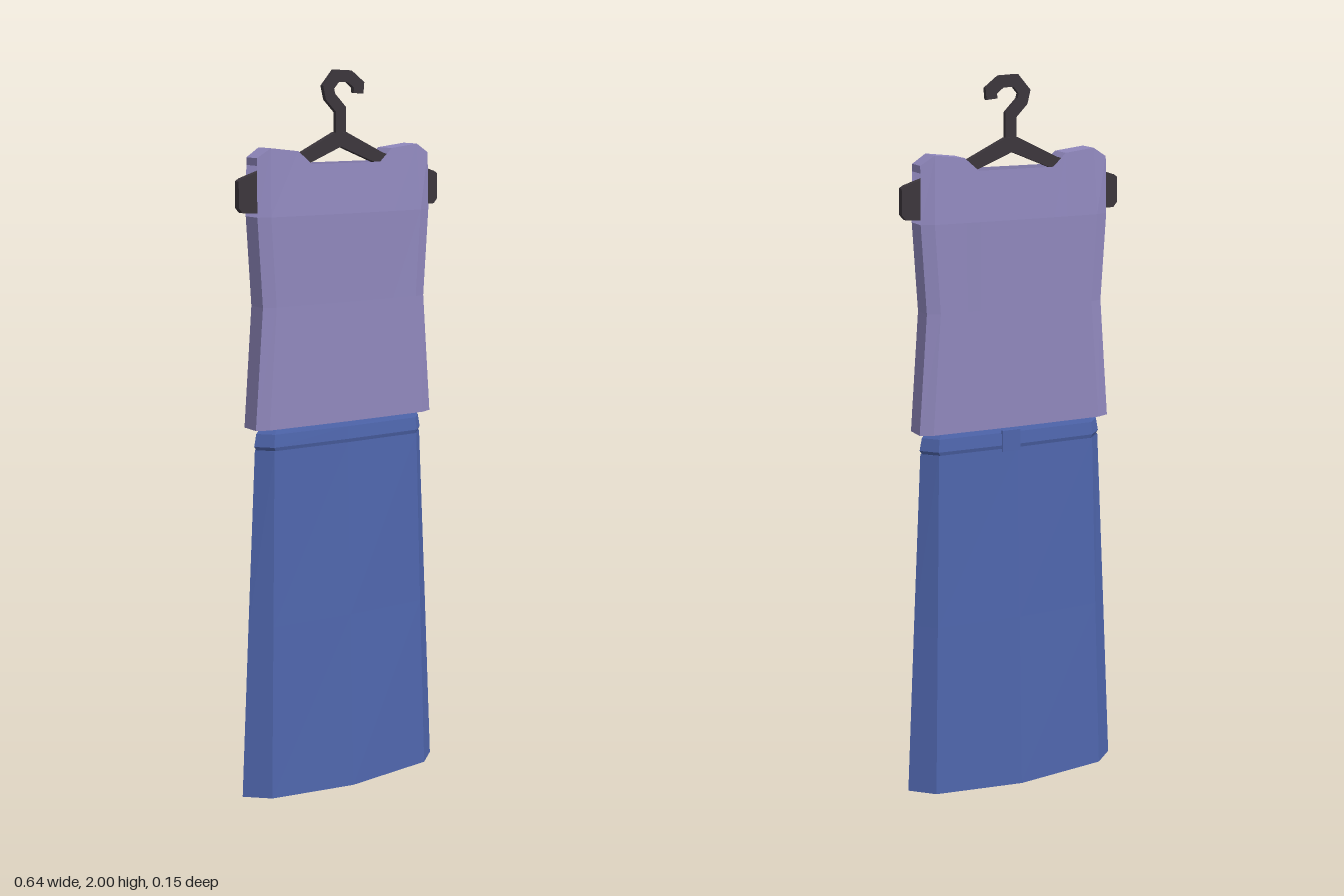
import * as THREE from 'three';

const cloth = (color) => new THREE.MeshStandardMaterial({ color, flatShading: true, side: THREE.DoubleSide });
const skirtMat = cloth(0x4f66ad);
const shirtMat = cloth(0x9088bd);
const hangerMat = new THREE.MeshStandardMaterial({ color: 0x3c363c, flatShading: true });

function add(parent, name, geometry, material) {
  const mesh = new THREE.Mesh(geometry, material);
  mesh.name = name;
  parent.add(mesh);
  return mesh;
}

// Surface through rows of [x, y, z] points, faceted
function grid(rows) {
  const n = rows[0].length, index = [];
  for (let i = 0; i < rows.length - 1; i++) {
    for (let j = 0; j < n - 1; j++) {
      const a = i * n + j, d = a + n;
      index.push(a, a + 1, d + 1, a, d + 1, d);
    }
  }
  const g = new THREE.BufferGeometry();
  g.setAttribute('position', new THREE.Float32BufferAttribute(rows.flat(2), 3));
  g.setIndex(index);
  const flat = g.toNonIndexed();
  flat.computeVertexNormals();
  return flat;
}

// Eight-sided skirt ring: side points, corners, middle of front and back
function ring([y, w, c, d, e, drop = 0]) {
  return [[-w, 0], [-c, d], [0, e], [c, d], [w, 0], [c, -d], [0, -e], [-c, -d], [-w, 0]]
    .map(([x, z]) => [x, x === 0 ? y - drop : y, z]);
}

// Flat bar of constant width along a centre line, with mitred joints
function ribbon(points, half) {
  const p = points.map(([x, y]) => new THREE.Vector2(x, y));
  const left = [], right = [];
  p.forEach((v, i) => {
    const before = v.clone().sub(p[Math.max(i - 1, 0)]).normalize();
    const after = p[Math.min(i + 1, p.length - 1)].clone().sub(v).normalize();
    const t = before.clone().add(after).normalize();
    const nrm = new THREE.Vector2(-t.y, t.x);
    const along = i === 0 ? after : before;
    const k = half / Math.max(0.5, t.dot(along));
    left.push(v.clone().addScaledVector(nrm, k));
    right.unshift(v.clone().addScaledVector(nrm, -k));
  });
  return [...left, ...right];
}

function plate(points, depth) {
  const shape = new THREE.Shape(points);
  return new THREE.ExtrudeGeometry(shape, { depth, bevelEnabled: false }).translate(0, 0, -depth / 2);
}

function makeSkirt() {
  const skirt = new THREE.Group();
  skirt.name = 'skirt';
  // Flared body with a turned-in hem
  add(skirt, 'skirtBody', grid([
    [0.03, 0.305, 0.25, 0.05, 0.065],
    [0.01, 0.308, 0.252, 0.051, 0.066, 0.01],
    [0.01, 0.322, 0.26, 0.057, 0.074, 0.01],
    [0.5, 0.298, 0.247, 0.048, 0.059],
    [0.99, 0.273, 0.235, 0.04, 0.045],
  ].map(ring)), skirtMat);
  // Waistband
  add(skirt, 'waistband', grid([
    [0.99, 0.268, 0.231, 0.038, 0.043],
    [1.0, 0.275, 0.236, 0.041, 0.046],
    [1.035, 0.268, 0.232, 0.038, 0.043],
    [1.05, 0.255, 0.225, 0.034, 0.039],
    [1.045, 0.245, 0.2, 0.024, 0.031],
  ].map(ring)), skirtMat);
  const tab = add(skirt, 'waistTab', new THREE.BoxGeometry(0.055, 0.06, 0.01), skirtMat);
  tab.position.set(0.02, 1.012, -0.043);
  return skirt;
}

function makeShirt() {
  const shirt = new THREE.Group();
  shirt.name = 'shirt';
  // Rows: height, half width, side depth, corner depth, middle depth
  const body = [
    [1.05, 0.287, 0.03, 0.045, 0.048],
    [1.38, 0.262, 0.03, 0.043, 0.046],
    [1.62, 0.277, 0.03, 0.043, 0.047],
  ];
  const half = body.map(([y, w, s, d, e]) =>
    [[0, y, e], [0.11, y, e - 0.001], [0.15, y, e - 0.002], [w - 0.035, y, d], [w, y, s]]);
  // Upper edge with neckline and shoulder
  half.push([[0, 1.755, 0.037], [0.11, 1.755, 0.036], [0.15, 1.79, 0.032], [0.235, 1.8, 0.031], [0.275, 1.775, 0.027]]);
  const mirror = (row) => [...row.slice(1).reverse().map(([x, y, z]) => [-x, y, z]), ...row];
  const panel = grid(half.map(mirror));
  const side = grid(body.map(([y, w, s]) => [[w, y, s], [w, y, -s]]));
  const edge = [[0.15, 1.79, 0.032], [0.235, 1.8, 0.031], [0.275, 1.775, 0.027], [0.275, 1.755, 0.027]];
  const shoulder = grid([edge, edge.map(([x, y, z]) => [x, y, -z])]);
  ['front', 'back'].forEach((name, i) => {
    const turn = i * Math.PI;
    add(shirt, name + 'Panel', panel, shirtMat).rotation.y = turn;
    add(shirt, i ? 'rightSide' : 'leftSide', side, shirtMat).rotation.y = turn;
    add(shirt, i ? 'rightShoulder' : 'leftShoulder', shoulder, shirtMat).rotation.y = turn;
  });
  return shirt;
}

function makeHanger() {
  const hanger = new THREE.Group();
  hanger.name = 'hanger';
  // Hook
  add(hanger, 'hook', plate(ribbon([
    [0.058, 1.938], [0.06, 1.96], [0.03, 1.983], [-0.012, 1.985], [-0.038, 1.955],
    [-0.032, 1.93], [0.002, 1.895], [0.002, 1.81],
  ], 0.016), 0.014), hangerMat);
  // Sloping arms with broad ends out through the armholes
  const arm = [[0.018, 1.835], [0.135, 1.778], [0.27, 1.735], [0.31, 1.722], [0.321, 1.715],
    [0.321, 1.645], [0.31, 1.632], [0.265, 1.63], [0.25, 1.69], [0.11, 1.752]];
  const outline = [[0, 1.797], ...arm.slice().reverse(), ...arm.map(([x, y]) => [-x, y])];
  add(hanger, 'arms', plate(outline.map(([x, y]) => new THREE.Vector2(x, y)), 0.02), hangerMat);
  return hanger;
}

export function createModel() {
  const model = new THREE.Group();
  model.name = 'hangingOutfit';
  model.add(makeSkirt(), makeShirt(), makeHanger());
  return model;
}
